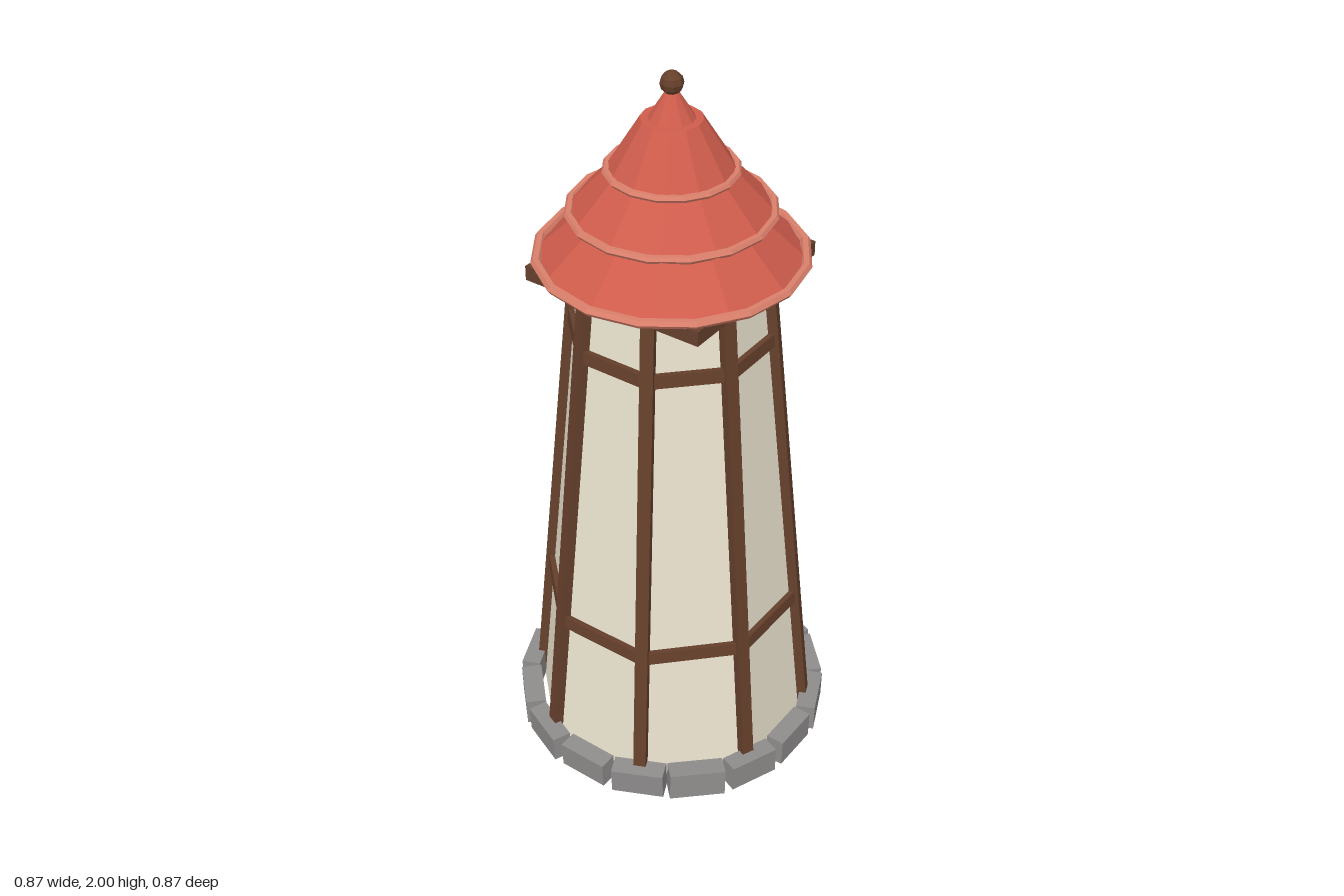
import * as THREE from 'three';

const mat = (color, side = THREE.FrontSide) =>
  new THREE.MeshStandardMaterial({ color, side, flatShading: true });

export function createModel() {
  const tower = new THREE.Group();
  tower.name = 'tower';
  const plaster = mat(0xece4d0, THREE.DoubleSide);
  const wood = mat(0x66402c);
  const tile = mat(0xcf5c4c, THREE.DoubleSide);
  const trim = mat(0xd97f6b);
  const stone = mat(0x8f8c8c);

  let seed = 7;
  const rand = () => {
    seed = (seed * 16807) % 2147483647;
    return seed / 2147483647 - 0.5;
  };
  const add = (parent, name, geometry, material, x = 0, y = 0, z = 0) => {
    const mesh = new THREE.Mesh(geometry, material);
    mesh.name = name;
    mesh.position.set(x, y, z);
    parent.add(mesh);
    return mesh;
  };
  // Group turned about the y axis; its parts are placed along local +z
  const spoke = (name, angle) => {
    const g = new THREE.Group();
    g.name = name;
    g.rotation.y = angle;
    tower.add(g);
    return g;
  };

  // Tapered eight-sided wall, open at both ends
  const wallTop = 1.49, rBottom = 0.393, rTop = 0.243;
  const radiusAt = (y) => rBottom + (rTop - rBottom) * (y / wallTop);
  add(tower, 'wall', new THREE.CylinderGeometry(rTop, rBottom, wallTop, 8, 1, true, Math.PI / 8),
    plaster, 0, wallTop / 2, 0);

  // Leaning corner posts and horizontal beams
  const lean = Math.atan((rBottom - rTop) / wallTop);
  const faceLean = Math.atan((rBottom - rTop) * Math.cos(Math.PI / 8) / wallTop);
  for (let i = 0; i < 8; i++) {
    const corner = spoke('cornerPost', (i + 0.5) * Math.PI / 4);
    const y0 = 0.03, y1 = 1.475, yMid = (y0 + y1) / 2;
    add(corner, 'post', new THREE.BoxGeometry(0.035, (y1 - y0) / Math.cos(lean), 0.038), wood,
      0, yMid, radiusAt(yMid)).rotation.x = -lean;

    const face = spoke('wallBeams', i * Math.PI / 4);
    for (const y of [0.45, 1.295]) {
      const r = radiusAt(y);
      add(face, 'beam', new THREE.BoxGeometry(2 * r * Math.sin(Math.PI / 8) + 0.012, 0.036, 0.03), wood,
        0, y, r * Math.cos(Math.PI / 8)).rotation.x = -faceLean;
    }
  }

  // Ring of slightly uneven foundation stones
  for (let i = 0; i < 16; i++) {
    const g = spoke('foundationStone', i * Math.PI / 8);
    const block = add(g, 'stone',
      new THREE.BoxGeometry(0.15 + rand() * 0.012, 0.078 + rand() * 0.008, 0.054 + rand() * 0.008), stone,
      0, 0.048, 0.409 + rand() * 0.006);
    block.rotation.set(rand() * 0.1, rand() * 0.06, rand() * 0.06);
  }

  // Square plate carrying the roof
  add(tower, 'eavePlate', new THREE.BoxGeometry(0.52, 0.04, 0.52), wood, 0, 1.485, 0);

  // Three stepped roof tiers with raised rims: [bottom y, top y, bottom r, top r, rim r, tube r]
  const tiers = [
    [1.505, 1.64, 0.342, 0.2, 0.341, 0.014],
    [1.63, 1.755, 0.262, 0.147, 0.256, 0.012],
    [1.74, 1.88, 0.165, 0.078, 0.161, 0.011],
  ];
  tiers.forEach(([y0, y1, r0, r1, rimR, tube]) => {
    add(tower, 'roofTier', new THREE.CylinderGeometry(r1, r0, y1 - y0, 12), tile, 0, (y0 + y1) / 2, 0);
    const rim = add(tower, 'roofRim', new THREE.TorusGeometry(rimR, tube, 6, 16), trim, 0, y0 + 0.007, 0);
    rim.rotation.x = Math.PI / 2;
    rim.scale.z = 0.85;
  });

  // Peak and ball finial
  add(tower, 'roofPeak', new THREE.CylinderGeometry(0.012, 0.062, 0.08, 12), tile, 0, 1.915, 0);
  add(tower, 'finial', new THREE.SphereGeometry(0.03, 8, 6), wood, 0, 1.97, 0);

  return tower;
}
